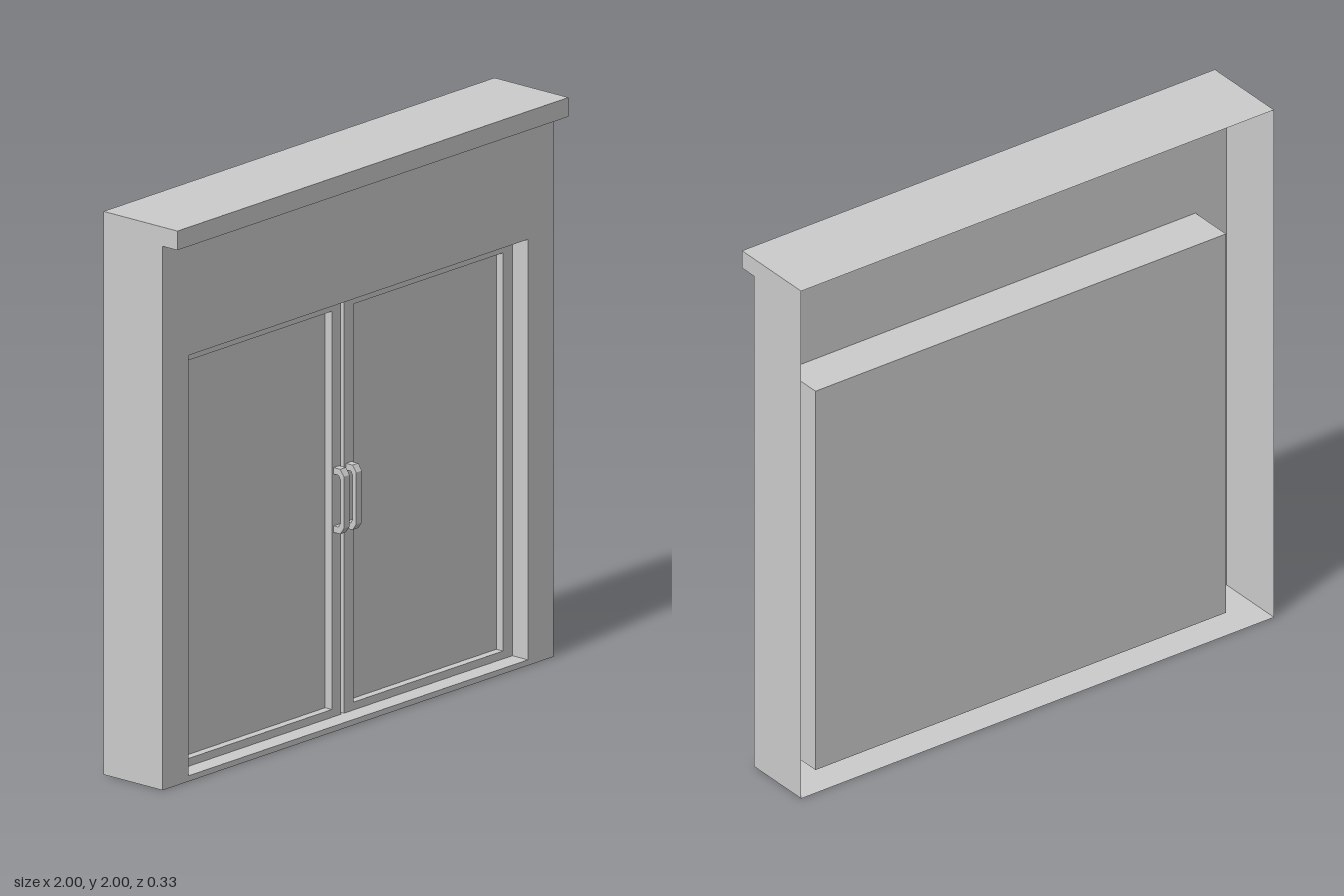
import * as THREE from 'three';

const solid = new THREE.MeshStandardMaterial({ color: 0xcccccc, flatShading: true });
const sheet = new THREE.MeshStandardMaterial({ color: 0xcccccc, flatShading: true, side: THREE.DoubleSide });

// Main dimensions
const BACK = -0.167, WALL = 0.1, LIP = 0.167;            // depths of the housing
const DOOR = 0.03, PANEL = 0, POCKET = -0.072;           // depths inside the opening
const OPEN_X = 0.868, OPEN_Y0 = 0.02, OPEN_Y1 = 1.513;   // opening in the front wall
const CORNICE_Y = 1.932;

function add(parent, name, geometry, material = solid) {
  const mesh = new THREE.Mesh(geometry, material);
  mesh.name = name;
  parent.add(mesh);
  return mesh;
}

const polygon = (points) => new THREE.Shape(points.map(([x, y]) => new THREE.Vector2(x, y)));
const rect = (x0, y0, x1, y1) => polygon([[x0, y0], [x1, y0], [x1, y1], [x0, y1]]);

function rectWithHole(outer, inner) {
  const shape = rect(...outer);
  shape.holes.push(rect(...inner));
  return shape;
}

// Flat sheets: level (facing up), upright across x, upright along z
const level = (halfW, z0, z1, y) =>
  new THREE.PlaneGeometry(2 * halfW, z1 - z0).rotateX(-Math.PI / 2).translate(0, y, (z0 + z1) / 2);
const across = (halfW, y0, y1, z) =>
  new THREE.PlaneGeometry(2 * halfW, y1 - y0).translate(0, (y0 + y1) / 2, z);
const along = (z0, z1, y0, y1, x) =>
  new THREE.PlaneGeometry(z1 - z0, y1 - y0).rotateY(Math.PI / 2).translate(x, (y0 + y1) / 2, (z0 + z1) / 2);

// Thin housing, open at the back, with a hollow cornice
function createHousing() {
  const housing = new THREE.Group();
  housing.name = 'housing';
  const front = rectWithHole([-1, 0, 1, CORNICE_Y], [-OPEN_X, OPEN_Y0, OPEN_X, OPEN_Y1]);
  add(housing, 'frontWall', new THREE.ShapeGeometry(front).translate(0, 0, WALL), sheet);
  add(housing, 'floor', level(1, BACK, WALL, 0), sheet);
  add(housing, 'top', level(1, BACK, LIP, 2), sheet);
  add(housing, 'corniceUnderside', level(1, WALL, LIP, CORNICE_Y), sheet);
  add(housing, 'corniceFront', across(1, CORNICE_Y, 2, LIP), sheet);
  const side = polygon([[BACK, 0], [WALL, 0], [WALL, CORNICE_Y], [LIP, CORNICE_Y], [LIP, 2], [BACK, 2]]);
  for (const s of [-1, 1]) {
    const wall = new THREE.ShapeGeometry(side).rotateY(-Math.PI / 2).translate(s, 0, 0);
    add(housing, s > 0 ? 'leftWall' : 'rightWall', wall, sheet);
  }
  return housing;
}

// Recess that holds the doors, closed at the back
function createRecess() {
  const recess = new THREE.Group();
  recess.name = 'doorRecess';
  add(recess, 'recessBack', across(OPEN_X, OPEN_Y0, OPEN_Y1, POCKET), sheet);
  add(recess, 'sill', level(OPEN_X, POCKET, WALL, OPEN_Y0), sheet);
  add(recess, 'lintel', level(OPEN_X, POCKET, WALL, OPEN_Y1), sheet);
  for (const s of [-1, 1]) {
    add(recess, s > 0 ? 'leftJamb' : 'rightJamb', along(POCKET, WALL, OPEN_Y0, OPEN_Y1, s * OPEN_X), sheet);
  }
  return recess;
}

// One door: raised frame, sunken panel and a bow handle near the middle
function createDoor(side) {
  const door = new THREE.Group();
  door.name = side > 0 ? 'leftDoor' : 'rightDoor';
  const mirrorX = (a, b) => (side > 0 ? [a, b] : [-b, -a]);
  const [x0, x1] = mirrorX(0.008, OPEN_X);
  const [p0, p1] = mirrorX(0.055, 0.82);
  const [h0, h1] = mirrorX(0.017, 0.046);

  const frame = rectWithHole([x0, OPEN_Y0, x1, OPEN_Y1], [p0, 0.048, p1, 1.462]);
  add(door, 'doorFrame', new THREE.ExtrudeGeometry(frame, { depth: DOOR - PANEL, bevelEnabled: false })
    .translate(0, 0, PANEL));

  const depth = PANEL - POCKET - 0.01;
  add(door, 'doorPanel', new THREE.BoxGeometry(x1 - x0, OPEN_Y1 - OPEN_Y0, depth)
    .translate((x0 + x1) / 2, (OPEN_Y0 + OPEN_Y1) / 2, PANEL - depth / 2));

  // Handle profile: (distance from the door, height)
  const bow = polygon([
    [0, 0.675], [0.03, 0.675], [0.046, 0.698], [0.046, 0.882], [0.03, 0.905], [0, 0.905],
    [0, 0.882], [0.022, 0.882], [0.03, 0.868], [0.03, 0.712], [0.022, 0.698], [0, 0.698],
  ]);
  add(door, 'handle', new THREE.ExtrudeGeometry(bow, { depth: h1 - h0, bevelEnabled: false })
    .rotateY(-Math.PI / 2).translate(h1, 0, DOOR));
  return door;
}

export function createModel() {
  const model = new THREE.Group();
  model.name = 'doubleDoorFront';
  model.add(createHousing(), createRecess(), createDoor(1), createDoor(-1));
  return model;
}
